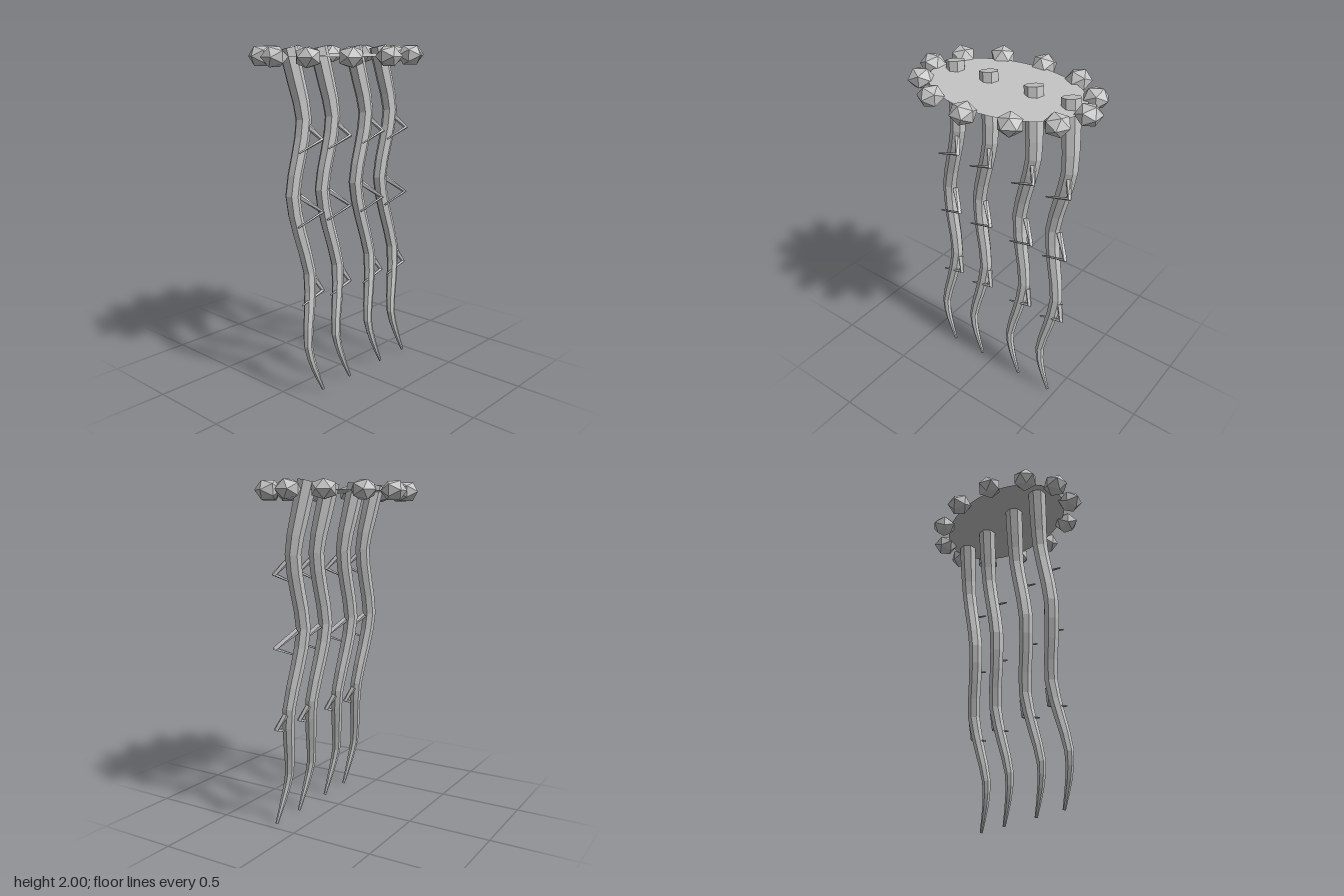
import * as THREE from 'three';

const V = (x, y, z) => new THREE.Vector3(x, y, z);

// Tapered faceted tube through points, with one radius per point and closed ends
function taperedTube(points, radii, sides) {
  const pos = [], idx = [], n = points.length;
  const ref = V(0, 0, 1);
  points.forEach((p, i) => {
    const t = V(0, 0, 0);
    if (i > 0) t.add(p.clone().sub(points[i - 1]).normalize());
    if (i < n - 1) t.add(points[i + 1].clone().sub(p).normalize());
    t.normalize();
    const u = ref.clone().addScaledVector(t, -t.dot(ref)).normalize();
    const v = t.clone().cross(u);
    for (let j = 0; j < sides; j++) {
      const a = (j / sides) * Math.PI * 2;
      const q = p.clone()
        .addScaledVector(u, radii[i] * Math.cos(a))
        .addScaledVector(v, radii[i] * Math.sin(a));
      pos.push(q.x, q.y, q.z);
    }
  });
  const first = pos.length / 3, last = first + 1;
  pos.push(...points[0].toArray(), ...points[n - 1].toArray());
  for (let j = 0; j < sides; j++) {
    const k = (j + 1) % sides;
    for (let i = 0; i < n - 1; i++) {
      const a = i * sides + j, b = i * sides + k;
      idx.push(a, b, b + sides, a, b + sides, a + sides);
    }
    idx.push(first, k, j, last, (n - 1) * sides + j, (n - 1) * sides + k);
  }
  const g = new THREE.BufferGeometry();
  g.setAttribute('position', new THREE.Float32BufferAttribute(pos, 3));
  g.setIndex(idx);
  const flat = g.toNonIndexed();
  flat.computeVertexNormals();
  return flat;
}

export function createModel() {
  const model = new THREE.Group();
  model.name = 'hangingTendrils';
  const grey = new THREE.MeshStandardMaterial({ color: 0xc4c4c4, flatShading: true, side: THREE.DoubleSide });
  grey.name = 'grey';
  const add = (parent, geometry, name) => {
    const mesh = new THREE.Mesh(geometry, grey);
    mesh.name = name;
    parent.add(mesh);
    return mesh;
  };

  // Thin oval disc
  const disc = add(model, new THREE.CircleGeometry(1, 48), 'disc');
  disc.rotation.x = -Math.PI / 2;
  disc.scale.set(0.475, 0.32, 1);
  disc.position.y = 1.945;

  // Ring of squashed faceted stones around the rim
  const stone = new THREE.IcosahedronGeometry(0.076, 0);
  stone.scale(1, 0.82, 1);
  for (let i = 0; i < 12; i++) {
    const a = (i / 12) * Math.PI * 2;
    const m = add(model, stone, 'rimStone');
    m.position.set(0.515 * Math.cos(a), 1.945, 0.362 * Math.sin(a));
    m.rotation.y = -a;
  }

  // Wavy tapering tendril: x, y, z, radius at each control point
  const path = [
    [-0.38, 1.99, -0.037, 0.055], [-0.35, 1.8, -0.005, 0.052], [-0.328, 1.6, 0.025, 0.046],
    [-0.37, 1.4, 0.026, 0.044], [-0.418, 1.18, 0.022, 0.043], [-0.388, 0.96, 0.043, 0.041],
    [-0.34, 0.72, 0.072, 0.038], [-0.373, 0.5, 0.1, 0.033], [-0.41, 0.3, 0.125, 0.027],
    [-0.38, 0.16, 0.142, 0.02], [-0.318, 0.005, 0.156, 0.009],
  ];
  const curve = new THREE.CatmullRomCurve3(path.map(p => V(p[0], p[1], p[2])));
  const steps = 2 * (path.length - 1);
  const points = [], radii = [];
  for (let i = 0; i <= steps; i++) {
    const k = Math.floor(i / 2), next = Math.min(k + 1, path.length - 1);
    points.push(curve.getPoint(i / steps));
    radii.push(THREE.MathUtils.lerp(path[k][3], path[next][3], (i % 2) / 2));
  }
  const tendril = taperedTube(points, radii, 7);

  // Bent thorns: root, elbow and tip
  const thorns = [
    [V(-0.32, 1.57, 0.045), V(-0.27, 1.49, 0.11), V(-0.43, 1.43, 0.09)],
    [V(-0.37, 1.17, 0.03), V(-0.27, 1.075, 0.113), V(-0.44, 1.012, 0.088)],
    [V(-0.31, 0.69, 0.075), V(-0.272, 0.605, 0.113), V(-0.43, 0.55, 0.102)],
  ].map(p => taperedTube(p, [0.018, 0.015, 0.005], 5));

  for (const x of [0, 0.237, 0.535, 0.768]) {
    const group = new THREE.Group();
    group.name = 'thornyTendril';
    group.position.x = x;
    add(group, tendril, 'tendril');
    thorns.forEach(t => add(group, t, 'thorn'));
    model.add(group);
  }
  return model;
}
